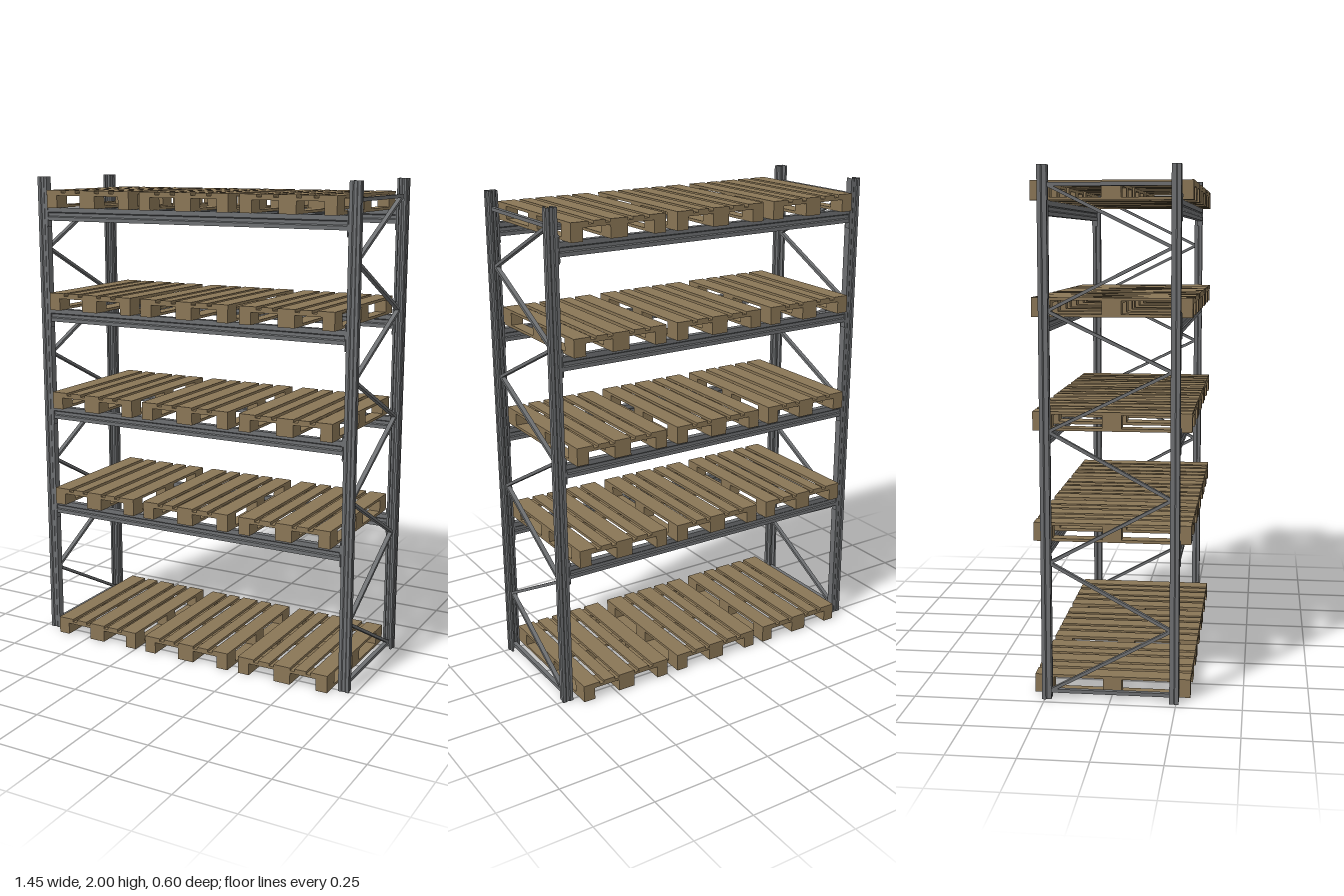
import * as THREE from 'three';

export function createModel() {
  const model = new THREE.Group();
  model.name = 'palletRack';
  const steel = new THREE.MeshStandardMaterial({ color: 0x6e7072 });
  steel.name = 'grey steel';
  const wood = new THREE.MeshStandardMaterial({ color: 0x8a7656 });
  wood.name = 'pallet wood';

  const add = (parent, name, geometry, material, x = 0, y = 0, z = 0) => {
    const mesh = new THREE.Mesh(geometry, material);
    mesh.name = name;
    mesh.position.set(x, y, z);
    parent.add(mesh);
    return mesh;
  };
  const box = (parent, name, material, w, h, d, x, y, z) =>
    add(parent, name, new THREE.BoxGeometry(w, h, d), material, x, y, z);
  const shapeOf = (points) => new THREE.Shape(points.map(([x, y]) => new THREE.Vector2(x, y)));
  const mirrored = (points) => points.map(([x, y]) => [-x, y]).reverse();

  // Uprights: thin open channel with a grooved web and returned lips
  const outer = [[0.006, 0.003], [0.01, 0], [0.0225, 0], [0.0225, 0.014],
    [0.019, 0.018], [0.019, 0.035], [0.01, 0.035]];
  const inner = [[0.01, 0.032], [0.016, 0.032], [0.016, 0.017], [0.0195, 0.013],
    [0.0195, 0.003], [0.011, 0.003], [0.007, 0.006]];
  const uprightGeometry = new THREE.ExtrudeGeometry(
    shapeOf([...mirrored(outer), ...outer, ...inner, ...mirrored(inner)]),
    { depth: 2, bevelEnabled: false });
  uprightGeometry.rotateX(-Math.PI / 2);

  // End frames: two uprights, level ties and zigzag bracing
  const zigzag = [0.03, 0.28, 0.53, 0.78, 1.03, 1.255, 1.475, 1.705, 1.93];
  for (const side of [-1, 1]) {
    const frame = new THREE.Group();
    frame.name = side > 0 ? 'leftFrame' : 'rightFrame';
    frame.position.x = side * 0.7025;
    model.add(frame);
    add(frame, 'frontUpright', uprightGeometry, steel, 0, 0, 0.26);
    add(frame, 'backUpright', uprightGeometry, steel, 0, 0, -0.26).rotation.y = Math.PI;
    for (const y of [0.03, 1.93]) box(frame, 'levelTie', steel, 0.018, 0.014, 0.48, 0, y, 0);
    for (let i = 0; i < zigzag.length - 1; i++) {
      const z0 = i % 2 ? 0.23 : -0.23;
      const rise = zigzag[i + 1] - zigzag[i];
      const brace = box(frame, 'diagonalBrace', steel, 0.018, 0.012, Math.hypot(0.46, rise),
        0, zigzag[i] + rise / 2, 0);
      brace.rotation.x = -Math.atan2(rise, -2 * z0);
    }
  }

  // Beams: box section with a stepped groove along both faces
  const face = [[0.0125, -0.055], [0.0125, -0.04], [0.008, -0.036],
    [0.008, -0.023], [0.0125, -0.019], [0.0125, 0]];
  const beamGeometry = new THREE.ExtrudeGeometry(shapeOf([...face, ...mirrored(face)]),
    { depth: 1.36, bevelEnabled: false });
  beamGeometry.translate(0, 0, -0.68);
  beamGeometry.rotateY(Math.PI / 2);

  // Beam end plates with chamfered corners
  const plateGeometry = new THREE.ExtrudeGeometry(
    shapeOf([[-0.013, -0.08], [0.009, -0.08], [0.013, -0.074],
      [0.013, 0.019], [0.009, 0.025], [-0.013, 0.025]]),
    { depth: 0.005, bevelEnabled: false });
  plateGeometry.translate(0, 0, -0.0025);
  plateGeometry.rotateY(-Math.PI / 2);

  const levels = [0.6, 1.025, 1.45, 1.875];
  for (const y of levels) {
    for (const side of [-1, 1]) {
      add(model, side > 0 ? 'frontBeam' : 'backBeam', beamGeometry, steel, 0, y, side * 0.249);
      for (const end of [-1, 1]) {
        const plate = add(model, 'beamEndPlate', plateGeometry, steel, end * 0.6775, y, side * 0.25);
        if (side < 0) plate.rotation.y = Math.PI;
      }
    }
  }

  // Pallet: three runners, nine blocks, three cross boards, five deck boards
  const makePallet = () => {
    const pallet = new THREE.Group();
    pallet.name = 'pallet';
    const t = 0.011;
    for (const [x, w] of [[-0.175, 0.05], [0, 0.0725], [0.175, 0.05]]) {
      box(pallet, 'runner', wood, w, t, 0.6, x, t / 2, 0);
      for (const z of [-0.26375, 0, 0.26375]) {
        box(pallet, 'block', wood, w, 0.039, 0.0725, x, 0.0305, z);
      }
    }
    for (const z of [-0.26375, 0, 0.26375]) {
      box(pallet, 'crossBoard', wood, 0.4, t, 0.0725, 0, 0.0555, z);
    }
    for (const [x, w] of [[-0.16375, 0.0725], [-0.0818, 0.05], [0, 0.0725],
      [0.0818, 0.05], [0.16375, 0.0725]]) {
      box(pallet, 'deckBoard', wood, w, t, 0.6, x, 0.0665, 0);
    }
    return pallet;
  };

  // Three pallets on the floor and on every level
  for (const y of [0, ...levels]) {
    for (const x of [-0.45, 0, 0.45]) {
      const pallet = makePallet();
      pallet.position.set(x, y, 0);
      model.add(pallet);
    }
  }
  return model;
}
